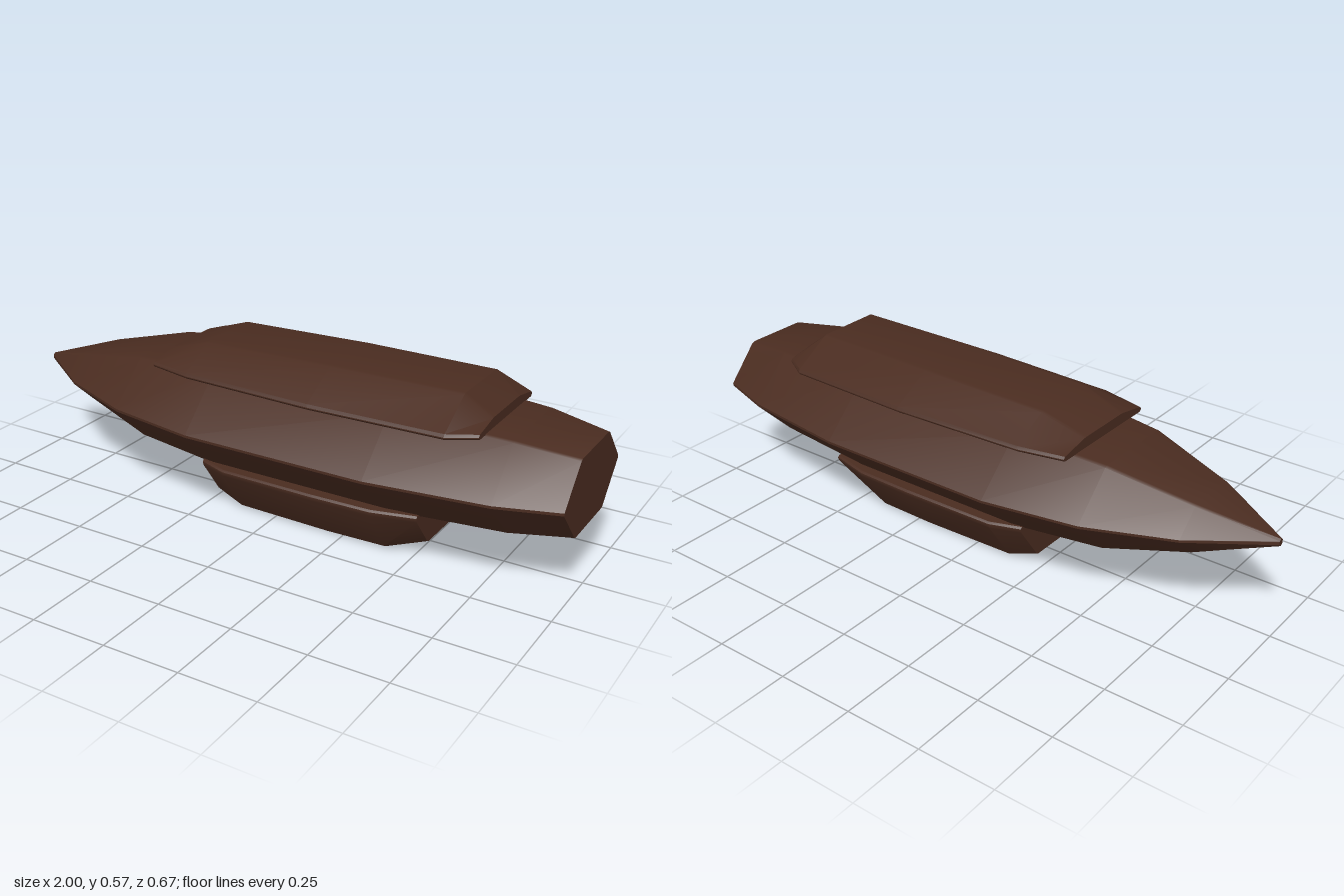
import * as THREE from 'three';
import { toCreasedNormals } from 'three/addons/utils/BufferGeometryUtils.js';

// Cut each corner of a [y, z] section by a small distance
function chamfer(section, d) {
  const out = [];
  const n = section.length;
  section.forEach((p, i) => {
    for (const q of [section[(i + n - 1) % n], section[(i + 1) % n]]) {
      const len = Math.hypot(q[0] - p[0], q[1] - p[1]);
      const k = Math.min(d, len * 0.4) / len;
      out.push([p[0] + (q[0] - p[0]) * k, p[1] + (q[1] - p[1]) * k]);
    }
  });
  return out;
}

// Skin a row of sections along x, with flat caps at both ends
function loft(stations, sectionOf) {
  const pos = [];
  const index = [];
  let n = 0;
  stations.forEach((s) => {
    const ring = chamfer(sectionOf(...s.slice(1)), 0.006);
    n = ring.length;
    ring.forEach(([y, z]) => pos.push(s[0], y, z));
  });
  for (let i = 0; i < stations.length - 1; i++) {
    for (let j = 0; j < n; j++) {
      const a = i * n + j;
      const b = i * n + ((j + 1) % n);
      index.push(a, b, a + n, b, b + n, a + n);
    }
  }
  const last = (stations.length - 1) * n;
  for (let j = 1; j < n - 1; j++) {
    index.push(0, j + 1, j);
    index.push(last, last + j, last + j + 1);
  }
  const geo = new THREE.BufferGeometry();
  geo.setAttribute('position', new THREE.Float32BufferAttribute(pos, 3));
  geo.setIndex(index);
  return toCreasedNormals(geo, 0.42);
}

// Add the mirrored half (-z) to a half section listed from top to bottom
const mirror = (half) => [...half, ...half.slice().reverse().map(([y, z]) => [y, -z])];

function hexSection(w, h) {
  const mid = 0.325;
  const half = [[mid + h, w * 0.5], [mid, w], [mid - h, w * 0.5]];
  const other = [[mid - h, -w * 0.5], [mid, -w], [mid + h, -w * 0.5]];
  return [...half, ...other];
}

export function createModel() {
  const group = new THREE.Group();
  const material = new THREE.MeshStandardMaterial({ color: 0x4a2c20 });
  const add = (name, geo) => {
    const mesh = new THREE.Mesh(geo, material);
    mesh.name = name;
    group.add(mesh);
  };

  // Hull: x, half width, half height
  add('hull', loft([
    [-1, 0.012, 0.012],
    [-0.77, 0.175, 0.08],
    [-0.5, 0.287, 0.141],
    [-0.19, 0.341, 0.162],
    [0.43, 0.341, 0.162],
    [0.81, 0.29, 0.146],
    [1, 0.227, 0.124],
  ], hexSection));

  // Upper deck: x, base half width, top half width, top height
  add('upperDeck', loft([
    [-0.397, 0.21, 0.1, 0.508],
    [-0.25, 0.242, 0.113, 0.556],
    [0.2, 0.26, 0.117, 0.567],
    [0.64, 0.246, 0.112, 0.569],
    [0.725, 0.195, 0.095, 0.507],
  ], (w, t, top) => mirror([[top, t], [0.487, w], [0.472, w]])));

  // Lower pod: x, rim half width, bottom half width, bottom height
  add('lowerPod', loft([
    [-0.23, 0.19, 0.1, 0.036],
    [-0.13, 0.225, 0.114, 0.004],
    [0.2, 0.23, 0.117, 0],
    [0.4, 0.225, 0.114, 0.002],
    [0.54, 0.19, 0.103, 0.055],
  ], (w, t, low) => mirror([[0.178, w], [0.163, w], [low, t]])));

  return group;
}
